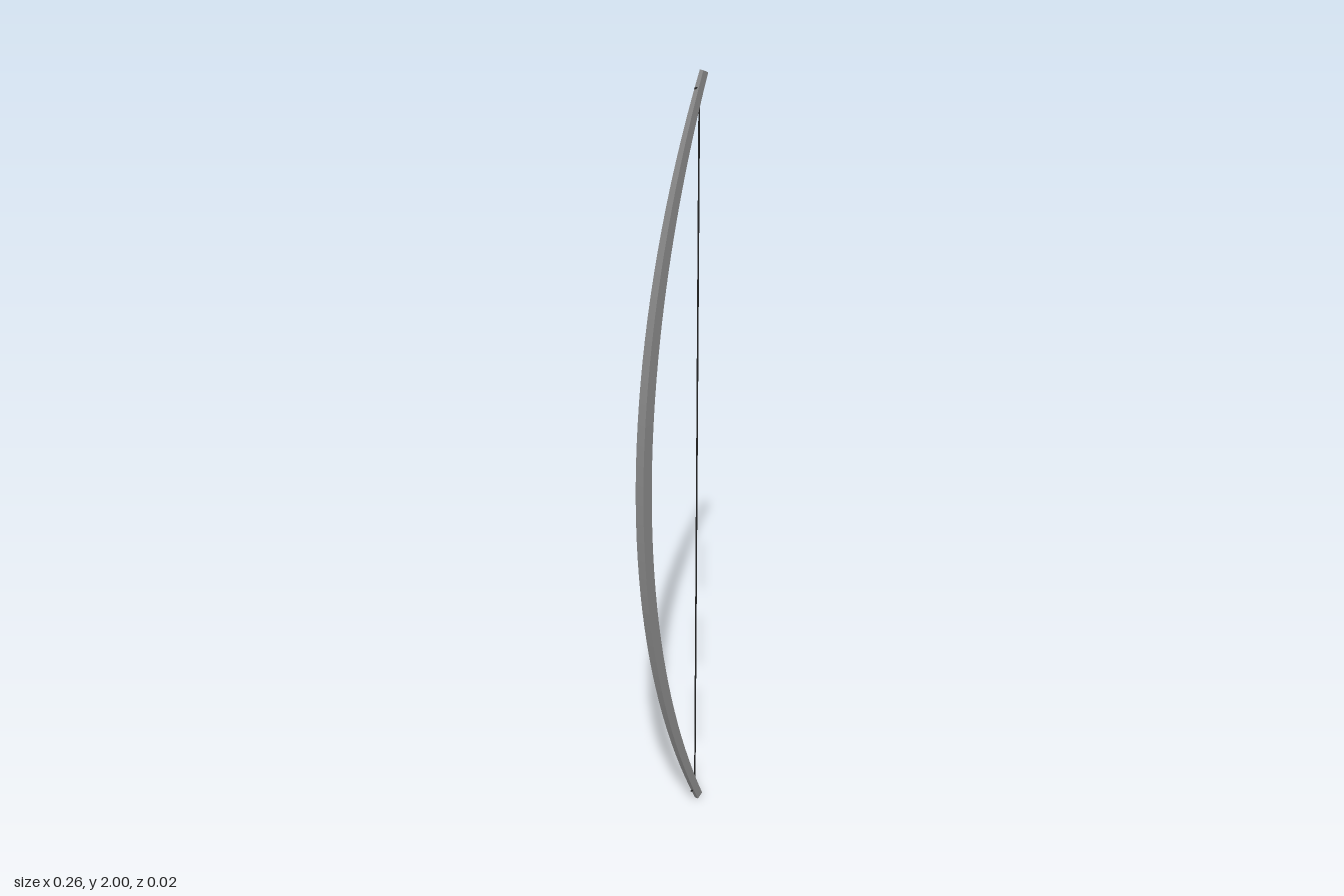
import * as THREE from 'three';

const R = 2.241;          // radius of the bow's arc
const BACK = -0.1135;     // x of the limb's centre line at the grip
const MAX = Math.asin(0.995 / R);
const STAVE = 0x888888;
const CORD = 0x222222;

// Rectangular section swept along the arc, tapering to both tips
function limbGeometry(segments) {
  const g = new THREE.BoxGeometry(1, 1, 1, 1, segments, 1);
  const p = g.attributes.position;
  for (let i = 0; i < p.count; i++) {
    const t = p.getY(i) * 2;
    const a = t * MAX;
    const r = R - p.getX(i) * THREE.MathUtils.lerp(0.033, 0.021, t * t);
    const depth = THREE.MathUtils.lerp(0.023, 0.01, t * t);
    p.setXYZ(i, BACK + R - r * Math.cos(a), 1 + r * Math.sin(a), p.getZ(i) * depth);
  }
  g.computeVertexNormals();
  return g;
}

export function createModel() {
  const bow = new THREE.Group();
  bow.name = 'bow';
  const add = (name, geometry, color, x, y) => {
    const mesh = new THREE.Mesh(geometry, new THREE.MeshStandardMaterial({ color, flatShading: true }));
    mesh.name = name;
    mesh.position.set(x, y, 0);
    bow.add(mesh);
    return mesh;
  };

  // Curved stave
  add('stave', limbGeometry(40), STAVE, 0, 0);

  // Taut string between the tips
  add('string', new THREE.CylinderGeometry(0.002, 0.002, 1.93, 8), CORD, 0.102, 1);

  // Short string ends crossing the limb at each nock
  for (const s of [-1, 1]) {
    const end = add(s > 0 ? 'upperNock' : 'lowerNock',
      new THREE.CylinderGeometry(0.002, 0.002, 0.03, 8), CORD, 0.1, 1 + s * 0.963);
    end.rotation.z = Math.PI / 2;
  }
  return bow;
}
